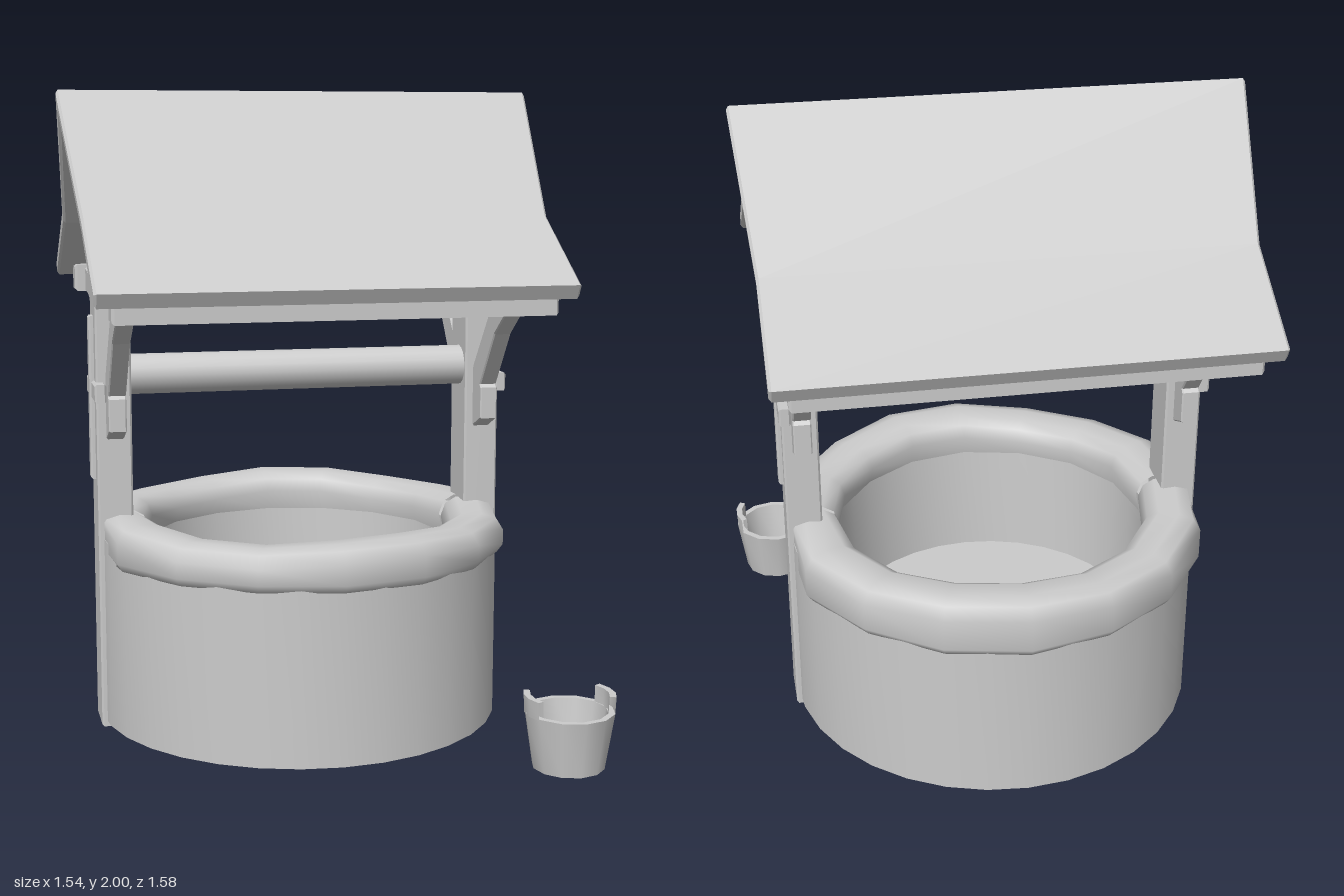
import * as THREE from 'three';
import { mergeVertices, toCreasedNormals } from 'three/addons/utils/BufferGeometryUtils.js';

const mat = new THREE.MeshStandardMaterial({ color: 0xcccccc });
const matDouble = new THREE.MeshStandardMaterial({ color: 0xcccccc, side: THREE.DoubleSide });
const v2 = (pts) => pts.map(([x, y]) => new THREE.Vector2(x, y));

function add(parent, name, geo, material = mat) {
  const mesh = new THREE.Mesh(geo, material);
  mesh.name = name;
  parent.add(mesh);
  return mesh;
}

// Extrude a (z, y) outline along x, centred on x = 0
function extrudeX(points, width, bevel = 0.006) {
  const geo = new THREE.ExtrudeGeometry(new THREE.Shape(v2(points)), {
    depth: width - 2 * bevel, bevelEnabled: true, bevelSegments: 1,
    bevelThickness: bevel, bevelSize: bevel, bevelOffset: -bevel,
  });
  geo.translate(0, 0, bevel - width / 2);
  geo.rotateY(-Math.PI / 2);
  return geo;
}

const rect = (z0, z1, y0, y1) => [[z0, y0], [z1, y0], [z1, y1], [z0, y1]];

// Half of the wobbly stone rim; drop lowers its underside
function rimHalf(drop, seed) {
  const profile = v2([
    [0.6, 0.55], [0.65, 0.55], [0.668, 0.575], [0.668, 0.635], [0.645, 0.672], [0.6, 0.684],
    [0.535, 0.68], [0.5, 0.66], [0.485, 0.62], [0.495, 0.56],
  ]);
  const end = Math.PI / 2 - 0.02;
  let geo = new THREE.LatheGeometry(profile, 8, -end, 2 * end);
  const p = geo.attributes.position;
  for (let i = 0; i < p.count; i++) {
    const x = p.getX(i), z = p.getZ(i), y = p.getY(i);
    const a = Math.atan2(x, z), r = Math.hypot(x, z);
    const atEnd = Math.abs(a) > end - 0.05;
    const k = atEnd ? Math.min(1, 0.64 / r) : 1 + 0.006 * Math.sin(5 * a + seed);
    const dy = y > 0.6 ? 0.01 * Math.sin(4 * a + seed) - 0.004 : r > 0.55 ? -drop : 0;
    p.setXYZ(i, x * k, y + dy, z * k);
  }
  geo.deleteAttribute('normal');
  geo.deleteAttribute('uv');
  geo = mergeVertices(geo);
  geo.computeVertexNormals();
  return geo;
}

function createBucket() {
  const bucket = new THREE.Group();
  bucket.name = 'bucket';
  const body = new THREE.LatheGeometry(v2([
    [0, 0.035], [0.095, 0.035], [0.098, 0.018], [0.108, 0.018], [0.135, 0.19],
    [0.115, 0.19], [0.094, 0.05], [0, 0.05],
  ]), 12);
  add(bucket, 'bucketBody', toCreasedNormals(body, 0.7), matDouble);
  // Raised ears on both sides
  for (const s of [-1, 1]) {
    const ear = new THREE.LatheGeometry(v2([
      [0.115, 0.185], [0.134, 0.185], [0.137, 0.24], [0.117, 0.24], [0.115, 0.185],
    ]), 3, s * Math.PI / 2 - 0.5, 1);
    add(bucket, 'bucketEar', toCreasedNormals(ear, 0.7), matDouble);
  }
  bucket.position.set(0.635, 0, 0.655);
  return bucket;
}

export function createModel() {
  const model = new THREE.Group();
  model.name = 'wishingWell';
  const well = new THREE.Group();
  well.name = 'well';
  well.position.set(-0.0175, 0, -0.117);
  model.add(well);

  // Round wall: outer skin, ledge, shaft lining and raised floor
  const wall = new THREE.LatheGeometry(v2([
    [0.643, 0.018], [0.643, 0.61], [0.5, 0.61], [0.485, 0.2], [0, 0.2],
  ]), 32);
  add(well, 'wall', toCreasedNormals(wall, 0.7), matDouble);

  // Rim in a front and a back half
  add(well, 'frontRim', rimHalf(0, 0.6), matDouble);
  add(well, 'backRim', rimHalf(0.035, 2.2), matDouble).rotation.y = Math.PI;

  // Roof: bent slopes, with the gable ends flaring towards the ridge
  const slope = [[0.34, 1.62], [0.652, 1.432], [0.63, 1.39], [0.316, 1.582]];
  const mirror = slope.map(([z, y]) => [-z, y]).reverse();
  const roof = extrudeX([[0, 2], ...slope, [0, 1.928], ...mirror], 1.42, 0.008);
  const p = roof.attributes.position;
  for (let i = 0; i < p.count; i++) {
    const flare = 0.042 * THREE.MathUtils.clamp((p.getY(i) - 1.6) / 0.4, 0, 1);
    p.setX(i, p.getX(i) + Math.sign(p.getX(i)) * flare);
  }
  roof.computeVertexNormals();
  add(well, 'roof', roof);

  // Beams under the eaves
  for (const s of [-1, 1]) {
    const pts = [[0.522, 1.34], [0.605, 1.34], [0.605, 1.415], [0.58, 1.43], [0.522, 1.43]];
    add(well, 'eaveBeam', extrudeX(pts.map(([z, y]) => [s * z, y]), 1.315, 0.008));
  }

  // Posts with gabled tops, each with two curved braces and an outer cross
  const brace = [
    [0.53, 1.42], [0.44, 1.415], [0.36, 1.39], [0.225, 1.31], [0.08, 1.135], [0.06, 1.1],
    [0.06, 0.94], [0.08, 0.93], [0.158, 0.965], [0.158, 1.065], [0.147, 1.075],
    [0.28, 1.25], [0.385, 1.325], [0.45, 1.337], [0.53, 1.34],
  ];
  for (const s of [-1, 1]) {
    const post = new THREE.Group();
    post.name = s > 0 ? 'leftPost' : 'rightPost';
    post.position.x = s * 0.5975;
    well.add(post);
    const outline = [[-0.076, 0], [0.076, 0], [0.076, 1.86], [0, 1.94], [-0.076, 1.86]];
    add(post, 'postBeam', extrudeX(outline, 0.11));
    for (const side of [-1, 1]) {
      const pts = brace.map(([z, y]) => [side * z, y]);
      add(post, 'brace', extrudeX(pts, 0.055, 0.004)).position.x = -s * 0.002;
    }
    add(post, 'crossUpright', extrudeX(rect(-0.026, 0.026, 0.795, 1.31), 0.04)).position.x = s * 0.05;
    add(post, 'crossBar', extrudeX(rect(-0.13, 0.13, 1.05, 1.108), 0.036)).position.x = s * 0.046;
  }

  // Rope roller between the posts
  const roller = new THREE.CylinderGeometry(0.064, 0.064, 1.12, 16);
  roller.rotateZ(Math.PI / 2);
  add(well, 'roller', roller).position.y = 1.122;

  model.add(createBucket());
  return model;
}
